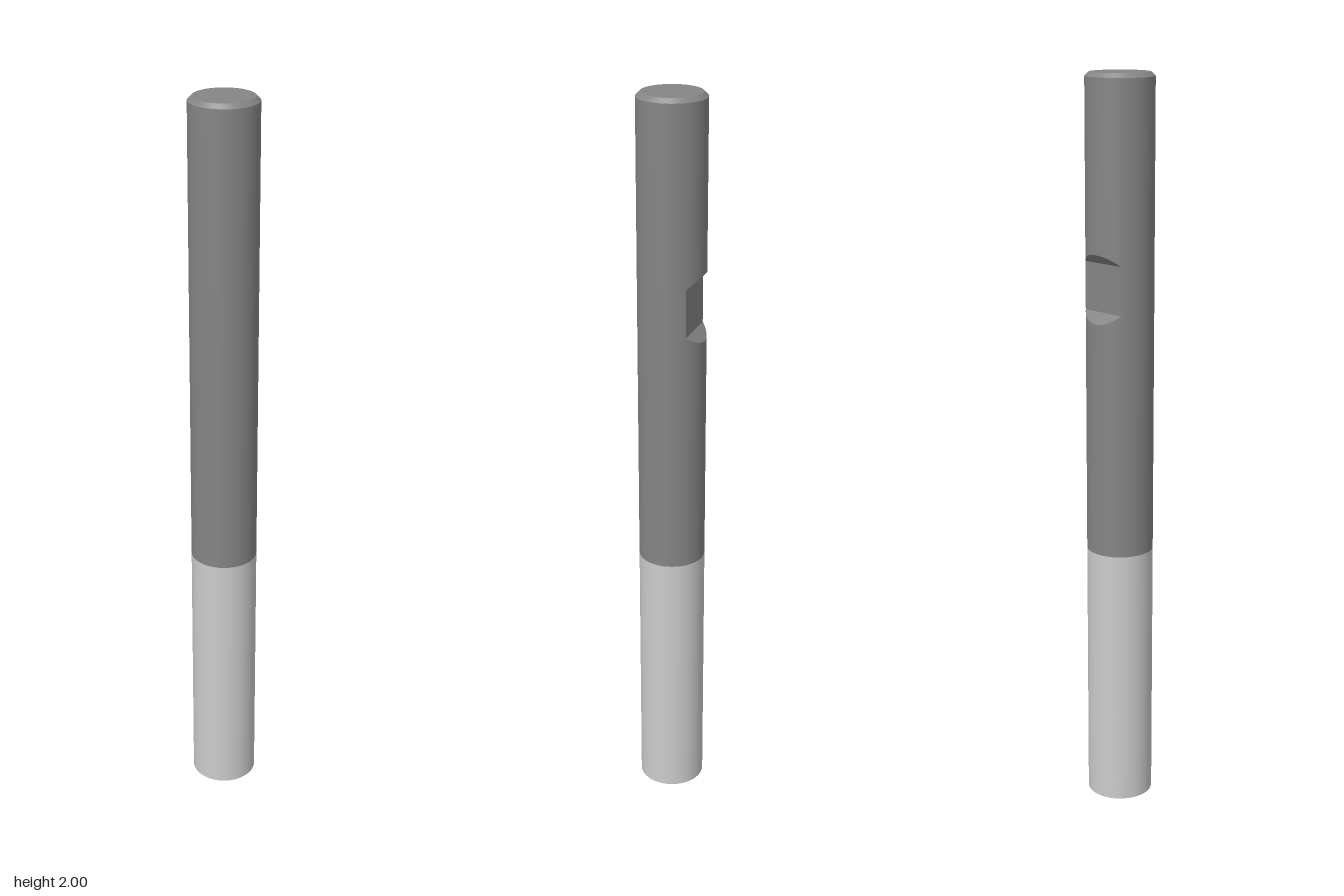
import * as THREE from 'three';

const R = 0.09;          // rod radius
const SPLIT = 0.73;      // where the light sleeve meets the dark body
const CHAMFER = 0.011;   // bevel at the top rim
const FLAT = 0.0615;     // depth of the notch floor behind the axis
const SEG = 96;

// Rings as [y, d]: the cross-section is a circle cut by a chord at z = -d
function bodyRings() {
  const steps = 10;
  const ramp = (y0, y1) => Array.from({ length: steps + 1 }, (_, i) => {
    const t = (i / steps) ** 2;
    return [y0 + (y1 - y0) * t, R + (FLAT - R) * t];
  });
  return [
    [SPLIT, R],
    ...ramp(1.365, 1.392),
    ...ramp(1.546, 1.52).reverse(),
    [2 - CHAMFER, R],
  ];
}

// Surface through rings; point(ring, u) gives a position for u in 0..1
function ringSurface(rings, cols, point) {
  const pos = [], index = [];
  rings.forEach((ring, j) => {
    for (let i = 0; i <= cols; i++) {
      pos.push(...point(ring, i / cols));
      if (j === rings.length - 1 || i === cols) continue;
      const a = j * (cols + 1) + i, b = a + cols + 1;
      index.push(a, b, a + 1, a + 1, b, b + 1);
    }
  });
  const geo = new THREE.BufferGeometry();
  geo.setAttribute('position', new THREE.Float32BufferAttribute(pos, 3));
  geo.setIndex(index);
  return geo;
}

export function createModel() {
  const group = new THREE.Group();
  const light = new THREE.MeshStandardMaterial({ color: 0xcccccc });
  const dark = new THREE.MeshStandardMaterial({ color: 0x858585 });
  const add = (name, geo, mat, y = 0) => {
    const mesh = new THREE.Mesh(geo, mat);
    mesh.name = name;
    mesh.position.y = y;
    group.add(mesh);
  };

  // Light lower sleeve
  add('lowerSleeve', new THREE.CylinderGeometry(R, R, SPLIT, SEG), light, SPLIT / 2);

  // Dark upper body: the round wall left standing beside the notch
  const rings = bodyRings();
  const half = (d) => Math.acos(Math.min(1, d / R));
  const wall = ringSurface(rings, SEG, ([y, d], u) => {
    const a = half(d), t = a + u * 2 * (Math.PI - a);
    return [R * Math.sin(t), y, -R * Math.cos(t)];
  });
  const p = wall.attributes.position, normals = [];
  for (let i = 0; i < p.count; i++) normals.push(p.getX(i) / R, 0, p.getZ(i) / R);
  wall.setAttribute('normal', new THREE.Float32BufferAttribute(normals, 3));
  add('upperBody', wall, dark);

  // Flat notch floor with its two sloping ends, on the back
  const notch = ringSurface(rings.slice(1, -1), 12, ([y, d], u) => {
    const x = R * Math.sin(half(d));
    return [x * (2 * u - 1), y, -d];
  }).toNonIndexed();
  notch.computeVertexNormals();
  add('notch', notch, dark);

  // Bevelled top end
  add('topChamfer', new THREE.CylinderGeometry(R - CHAMFER, R, CHAMFER, SEG), dark, 2 - CHAMFER / 2);

  return group;
}
